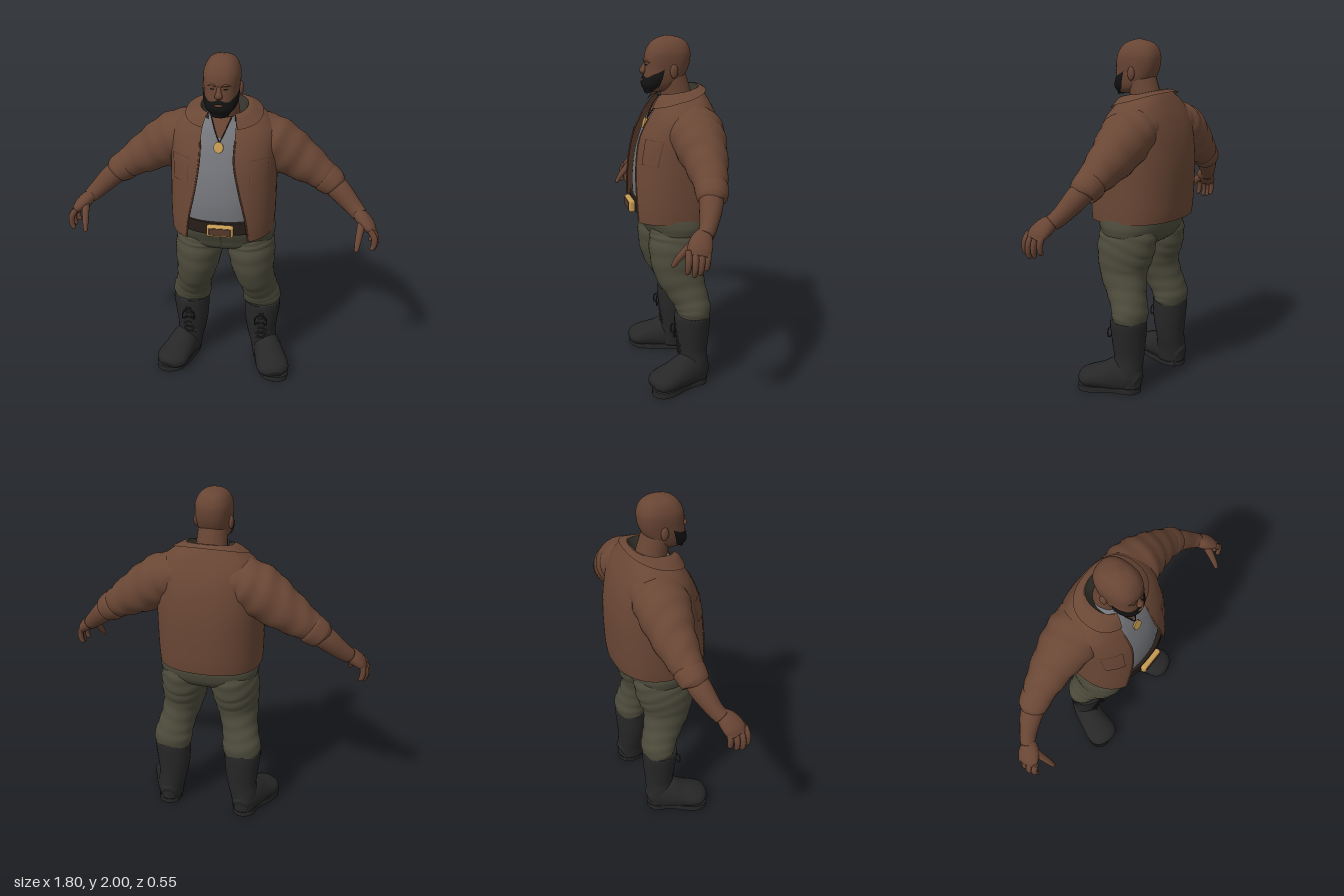
import * as THREE from 'three';
import { RoundedBoxGeometry } from 'three/addons/geometries/RoundedBoxGeometry.js';

const mat = (name, color, side = THREE.FrontSide) => {
  const m = new THREE.MeshStandardMaterial({ color, side });
  m.name = name;
  return m;
};
const V = (x, y, z) => new THREE.Vector3(x, y, z);

// Smooth (Catmull-Rom) value between rows of numbers
function sample(rows, t) {
  const last = rows.length - 1, i = Math.min(Math.floor(t), last - 1), f = t - i;
  const [p0, p1, p2, p3] = [-1, 0, 1, 2].map(k => rows[Math.min(last, Math.max(0, i + k))]);
  return p1.map((b, k) => {
    const a = p0[k], c = p2[k], d = p3[k];
    return 0.5 * (2 * b + (c - a) * f + (2 * a - 5 * b + 4 * c - d) * f * f + (3 * b - a - 3 * c + d) * f ** 3);
  });
}

// Row of a body profile at a height
function rowAt(rows, y) {
  let lo = 0, hi = rows.length - 1;
  for (let k = 0; k < 24; k++) {
    const m = (lo + hi) / 2;
    if (sample(rows, m)[0] < y) lo = m; else hi = m;
  }
  return sample(rows, lo);
}

// Skin of quads over point rings, closed rings get end caps
function skinRings(rings, closed) {
  const n = rings[0].length, pos = rings.flat().flatMap(p => [p.x, p.y, p.z]), idx = [];
  for (let i = 0; i < rings.length - 1; i++) {
    for (let j = 0; j < (closed ? n : n - 1); j++) {
      const k = (j + 1) % n, a = i * n + j, b = i * n + k;
      idx.push(a, b, b + n, a, b + n, a + n);
    }
  }
  if (closed) {
    for (const r of [0, rings.length - 1]) {
      const c = rings[r].reduce((s, p) => s.add(p), V(0, 0, 0)).divideScalar(n), ci = pos.length / 3;
      pos.push(c.x, c.y, c.z);
      for (let j = 0; j < n; j++) {
        const a = r * n + j, b = r * n + (j + 1) % n;
        if (r) idx.push(a, b, ci); else idx.push(b, a, ci);
      }
    }
  }
  const g = new THREE.BufferGeometry();
  g.setAttribute('position', new THREE.Float32BufferAttribute(pos, 3));
  g.setIndex(idx);
  g.computeVertexNormals();
  return g;
}

// Body section rows: [y, half width, front z, back z, right gap, left gap, tilt]
const N = 2.4;
function sectionPoint(r, a, grow = 0) {
  const pw = v => Math.sign(v) * Math.abs(v) ** (2 / N);
  const mid = (r[2] + r[3]) / 2, half = (r[2] - r[3]) / 2;
  return V(pw(Math.sin(a)) * (r[1] + grow), r[0] + (r[6] || 0) * Math.cos(a), mid + pw(Math.cos(a)) * (half + grow));
}
function body(rows, { open = false, seg = 48, step = 8 } = {}) {
  const rings = [], count = (rows.length - 1) * step;
  for (let i = 0; i <= count; i++) {
    const r = sample(rows, i / step), ring = [];
    const edge = g => Math.asin(Math.min(1, (g / r[1]) ** (N / 2)));
    const a0 = open ? edge(r[5]) : 0, a1 = Math.PI * 2 - (open ? edge(r[4]) : 0);
    for (let j = 0; j < seg + (open ? 1 : 0); j++) ring.push(sectionPoint(r, a0 + (a1 - a0) * j / seg));
    rings.push(ring);
  }
  return skinRings(rings, !open);
}
function frontZ(rows, x, y) {
  const r = rowAt(rows, y), k = 1 - Math.min(1, Math.abs(x / r[1])) ** N;
  return (r[2] + r[3]) / 2 + (r[2] - r[3]) / 2 * k ** (1 / N);
}
// Thin plate laid on the front of a body, narrowing to `low` at the bottom
function plate(rows, x, y, w, h, lift, low = 1) {
  const g = new THREE.PlaneGeometry(w, h, 8, 8), p = g.attributes.position;
  for (let i = 0; i < p.count; i++) {
    const f = p.getY(i) / h + 0.5, px = x + p.getX(i) * (low + (1 - low) * f), py = y + p.getY(i);
    p.setXYZ(i, px, py, frontZ(rows, px, py) + lift);
  }
  g.computeVertexNormals();
  return g;
}

// Limb stations: [x, y, z, radius across, radius along ref]
function limb(st, { side = 1, fold = 0, seg = 20, step = 6, ref = V(0, 0, 1), floor = -1 } = {}) {
  const rows = st.map(s => [s[0] * side, ...s.slice(1)]), count = (rows.length - 1) * step, rings = [];
  const at = t => { const r = sample(rows, Math.min(rows.length - 1, Math.max(0, t))); return V(r[0], r[1], r[2]); };
  for (let i = 0; i <= count; i++) {
    const t = i / step, r = sample(rows, t), T = at(t + 0.1).sub(at(t - 0.1)).normalize();
    const S = ref.clone().addScaledVector(T, -ref.dot(T)).normalize(), U = S.clone().cross(T), ring = [];
    for (let j = 0; j < seg; j++) {
      const a = j / seg * Math.PI * 2, k = 1 + fold * Math.sin(t * 7 + 2.2 * Math.sin(a) + Math.cos(2 * a));
      const p = V(r[0], r[1], r[2]).addScaledVector(U, r[3] * k * Math.cos(a)).addScaledVector(S, r[4] * k * Math.sin(a));
      p.y = Math.max(p.y, floor);
      ring.push(p);
    }
    rings.push(ring);
  }
  return skinRings(rings, true);
}
const cord = (pts, r) => new THREE.TubeGeometry(new THREE.CatmullRomCurve3(pts), 24, r, 6);
const ball = (x, y, z, sx, sy, sz) => new THREE.SphereGeometry(1, 20, 14).scale(sx, sy, sz).translate(x, y, z);

const JACKET = [
  [1.0, .293, .265, -.265, .175, .165, -.01], [1.1, .298, .265, -.275, .165, .155, 0], [1.3, .3, .244, -.28, .125, .11, 0],
  [1.45, .3, .21, -.265, .105, .08, 0], [1.56, .293, .158, -.235, .105, .08, 0], [1.63, .25, .118, -.2, .1, .08, -.01],
  [1.68, .18, .092, -.165, .09, .08, -.02], [1.705, .13, .082, -.14, .08, .075, -.025]];
const SHIRT = [[1.06, .25, .22, -.2], [1.2, .255, .225, -.2], [1.35, .25, .205, -.2], [1.48, .24, .165, -.19],
  [1.57, .2, .124, -.17], [1.63, .125, .088, -.11], [1.66, .088, .066, -.08]];
const HEAD = [[1.7, .045, .14, .02], [1.73, .075, .157, -.02], [1.78, .09, .16, -.065], [1.83, .096, .157, -.09],
  [1.88, .1, .155, -.1], [1.92, .097, .145, -.098], [1.96, .08, .12, -.08], [1.985, .054, .085, -.045], [2.0, .012, .035, .015]];

export function createModel() {
  const M = {
    skin: mat('skin', 0x684534), jacket: mat('jacket brown', 0x6a4735, THREE.DoubleSide),
    lining: mat('lining', 0x33322b, THREE.DoubleSide), seam: mat('jacket seam', 0x56392b),
    trousers: mat('olive trousers', 0x4e4c3c), boot: mat('boot black', 0x272728), shirt: mat('grey shirt', 0x74767b),
    hair: mat('beard black', 0x121212, THREE.DoubleSide), leather: mat('belt leather', 0x261d18), gold: mat('gold', 0xc49a52)
  };
  const model = new THREE.Group();
  const group = (name, x) => { const g = new THREE.Group(); g.name = name; g.position.x = x; model.add(g); return g; };
  const add = (parent, name, geo, m) => { const o = new THREE.Mesh(geo, m); o.name = name; parent.add(o); return o; };

  // Head and face
  const head = group('head', 0.005);
  add(head, 'skull', body(HEAD), M.skin);
  add(head, 'neck', limb([[0, 1.56, -.04, .1, .09], [0, 1.66, -.025, .09, .087], [0, 1.8, .01, .08, .08]]), M.skin);
  add(head, 'nose', limb([[0, 1.86, .15, .01, .008], [0, 1.83, .16, .014, .014], [0, 1.812, .165, .022, .018], [0, 1.8, .155, .016, .01]]), M.skin);
  for (const s of [-1, 1]) {
    add(head, 'ear', ball(s * .099, 1.815, .012, .014, .038, .022), M.skin);
    add(head, 'eye', plate(HEAD, s * .036, 1.848, .024, .008, .003), M.hair);
    add(head, 'eyebrow', limb([[.015, 1.862, .152, .004, .006], [.035, 1.868, .15, .006, .007], [.06, 1.86, .138, .003, .004]], { side: s }), M.skin);
  }
  // Beard hugging the jaw, higher at the sideburns
  const beard = [];
  for (let i = 0; i <= 12; i++) {
    const v = i / 12, ring = [];
    for (let j = 0; j <= 40; j++) {
      const a = (j / 20 - 1) * 1.4, q = Math.abs(a) / 1.4;
      const low = 1.688 + .045 * q ** 3, top = 1.792 - .014 * Math.sin(Math.min(1, q * 1.6) * Math.PI) + .035 * q ** 4;
      const y = low + (top - low) * v, p = sectionPoint(rowAt(HEAD, Math.max(y, 1.71)), a, .003 + .014 * Math.sin(Math.PI * (.12 + .86 * v)) * (1 - .6 * q));
      p.y = y;
      ring.push(p);
    }
    beard.push(ring);
  }
  add(head, 'beard', skinRings(beard, false), M.hair);
  add(head, 'lips', ball(0, 1.762, .172, .023, .007, .008), M.skin);

  // Shirt, open neck and pendant
  const torso = group('torso', 0.005);
  add(torso, 'shirt', body(SHIRT), M.shirt);
  add(torso, 'openNeck', plate(SHIRT, 0, 1.615, .13, .1, .006, .08), M.skin);
  add(torso, 'shirtPlacket', plate(SHIRT, 0, 1.535, .012, .06, .004), M.shirt);
  for (const s of [-1, 1]) {
    const pts = [1.66, 1.62, 1.58, 1.545].map((y, i) => { const x = s * (.055 - i * .018); return V(x, y, frontZ(SHIRT, x, y) + .008); });
    add(torso, 'pendantCord', cord(pts, .0028), M.leather);
  }
  const pendant = add(torso, 'pendant', new THREE.CylinderGeometry(.027, .027, .01, 20).rotateX(Math.PI / 2 - .35), M.gold);
  pendant.position.set(-.002, 1.52, frontZ(SHIRT, 0, 1.52) + .01);
  pendant.scale.y = 1.15;

  // Jacket shell, collar, seams and chest pockets
  const jacket = group('jacket', 0.01);
  const crest = [1.705, .13, .09, -.14, .075, .07, -.02];
  add(jacket, 'jacketShell', body(JACKET, { open: true, seg: 64 }), M.jacket);
  add(jacket, 'collarLining', body([[1.64, .1, .08, -.1, .075, .07, -.02], crest], { open: true }), M.lining);
  add(jacket, 'collar', body([crest, [1.697, .16, .115, -.152, .085, .08, -.03], [1.665, .215, .142, -.178, .1, .09, -.05]], { open: true }), M.jacket);
  for (const s of [-1, 1]) {
    add(jacket, 'pocketSeam', plate(JACKET, s * .215, 1.395, .1, .14, .003, .9), M.seam);
    add(jacket, 'chestPocket', plate(JACKET, s * .215, 1.382, .094, .11, .006, .9), M.jacket);
    add(jacket, 'pocketFlap', plate(JACKET, s * .215, 1.446, .1, .036, .008, .96), M.jacket);
    const edge = [1.56, 1.45, 1.3, 1.1, 1.0].map(y => {
      const x = s * (rowAt(JACKET, y)[s < 0 ? 4 : 5] + .002);
      return V(x, y, frontZ(JACKET, x, y));
    });
    add(jacket, 'frontEdge', cord(edge, .005), M.jacket);
  }

  // Arms with rolled sleeves and hands
  for (const s of [-1, 1]) {
    const arm = group(s > 0 ? 'leftArm' : 'rightArm', 0.003), o = { side: s };
    add(arm, 'sleeve', limb([[.1, 1.545, -.07, .1, .13], [.19, 1.525, -.07, .125, .152], [.285, 1.475, -.075, .145, .15], [.4, 1.4, -.08, .13, .124],
      [.52, 1.325, -.072, .1, .098], [.6, 1.27, -.062, .076, .076]], { side: s, fold: .026, seg: 28, step: 10 }), M.jacket);
    add(arm, 'cuff', limb([[.56, 1.295, -.068, .07, .074], [.575, 1.285, -.066, .087, .088], [.61, 1.262, -.06, .084, .084],
      [.635, 1.243, -.055, .074, .076], [.64, 1.238, -.054, .055, .055]], o), M.jacket);
    add(arm, 'forearm', limb([[.58, 1.28, -.06, .06, .06], [.66, 1.22, -.04, .064, .062], [.74, 1.145, -.005, .051, .047], [.785, 1.105, .025, .043, .042]], o), M.skin);
    add(arm, 'palm', limb([[.765, 1.125, .015, .03, .03], [.8, 1.095, .045, .04, .055], [.84, 1.06, .068, .034, .062], [.865, 1.03, .078, .02, .05]], o), M.skin);
    for (let f = 0; f < 4; f++) {
      const z = .03 + f * .032, d = [.02, .005, 0, .012][f];
      add(arm, 'finger', limb([[.845, 1.06, z, .017, .016], [.876 - d / 2, 1.02, z + .005, .018, .017], [.884 - d, .975, z + .008, .016, .015],
        [.874 - d, .937 + d, z + .01, .012, .012], [.871 - d, .93 + d, z + .01, .004, .004]], { side: s, seg: 10 }), M.skin);
    }
    add(arm, 'thumb', limb([[.8, 1.09, .07, .026, .026], [.79, 1.045, .12, .021, .021], [.782, 1.0, .16, .017, .017],
      [.777, .962, .185, .012, .012], [.776, .955, .188, .004, .004]], { side: s, seg: 10 }), M.skin);
  }

  // Belt and buckle
  const hips = group('hips', 0.02);
  add(hips, 'belt', body([[1.028, .272, .236, -.222], [1.035, .277, .242, -.228], [1.093, .272, .242, -.226], [1.1, .266, .236, -.22]]), M.leather);
  add(hips, 'buckle', new RoundedBoxGeometry(.15, .07, .035, 3, .014).translate(.005, 1.06, .253), M.gold);
  add(hips, 'buckleInset', new RoundedBoxGeometry(.122, .046, .01, 2, .004).translate(.005, 1.06, .268), M.seam);

  // Trousers
  const PELVIS = [[.83, .03, .03, -.06], [.86, .14, .1, -.13], [.9, .262, .158, -.178], [.95, .289, .182, -.2], [1.0, .288, .205, -.207], [1.06, .272, .222, -.205]];
  add(hips, 'trouserSeat', body(PELVIS), M.trousers);
  add(hips, 'flySeam', plate(PELVIS, 0, .965, .005, .09, .003), M.lining);
  for (const s of [-1, 1]) {
    add(hips, 'trouserLeg', limb([[.14, 1.0, -.005, .09, .14], [.145, .94, -.008, .128, .172], [.15, .88, -.006, .14, .176], [.158, .8, .005, .138, .17], [.17, .7, .005, .122, .147],
      [.19, .6, -.025, .108, .121], [.207, .52, -.055, .11, .105], [.217, .46, -.07, .117, .1], [.222, .41, -.068, .102, .09]],
      { side: s, fold: .012, seg: 32, step: 10 }), M.trousers);

    // Boots: shaft, foot, sole and laces, toes turned out
    const boot = new THREE.Group();
    boot.name = s > 0 ? 'leftBoot' : 'rightBoot';
    hips.add(boot);
    add(boot, 'bootShaft', limb([[.222, .428, -.062, .098, .09], [.222, .42, -.062, .11, .105], [.218, .3, -.063, .101, .097], [.222, .2, -.066, .088, .086],
      [.236, .12, -.064, .082, .088], [.24, .03, -.062, .072, .088]], { side: s, seg: 28 }), M.boot);
    add(boot, 'bootFoot', limb([[.235, .06, -.14, .045, .05], [.24, .08, -.09, .072, .1], [.262, .09, -.02, .085, .112], [.29, .08, .06, .093, .082],
      [.312, .07, .13, .1, .064], [.325, .06, .175, .085, .052], [.332, .05, .2, .045, .028]],
      { side: s, ref: V(0, 1, 0), floor: .03, seg: 28 }), M.boot);
    const outline = [[.18, -.12], [.235, -.15], [.298, -.12], [.325, -.03], [.382, .06], [.408, .13], [.39, .182], [.335, .203],
      [.265, .178], [.222, .11], [.195, .03], [.172, -.06]].map(([x, z]) => new THREE.Vector2(s * x, -z));
    const sole = new THREE.Shape().setFromPoints(new THREE.SplineCurve([...outline, outline[0]]).getPoints(48));
    add(boot, 'sole', new THREE.ExtrudeGeometry(sole, { depth: .034, bevelEnabled: false }).rotateX(-Math.PI / 2), M.boot);
    for (let k = 0; k < 6; k++) {
      const y = .18 + k * .037, z = .018 + k * .0035, x = s * .225;
      for (const d of [-1, 1]) add(boot, 'lace', cord([V(x - d * .035, y, z - .008), V(x, y + .014, z + .006), V(x + d * .035, y + .028, z - .006)], .004), M.boot);
    }
    for (const d of [-1, 1]) {
      add(boot, 'laceLoop', cord([V(s * .225, .37, .04), V(s * .225 + d * .03, .36, .055), V(s * .225 + d * .035, .31, .055), V(s * .225 + d * .012, .32, .04)], .004), M.boot);
    }
  }
  return model;
}
